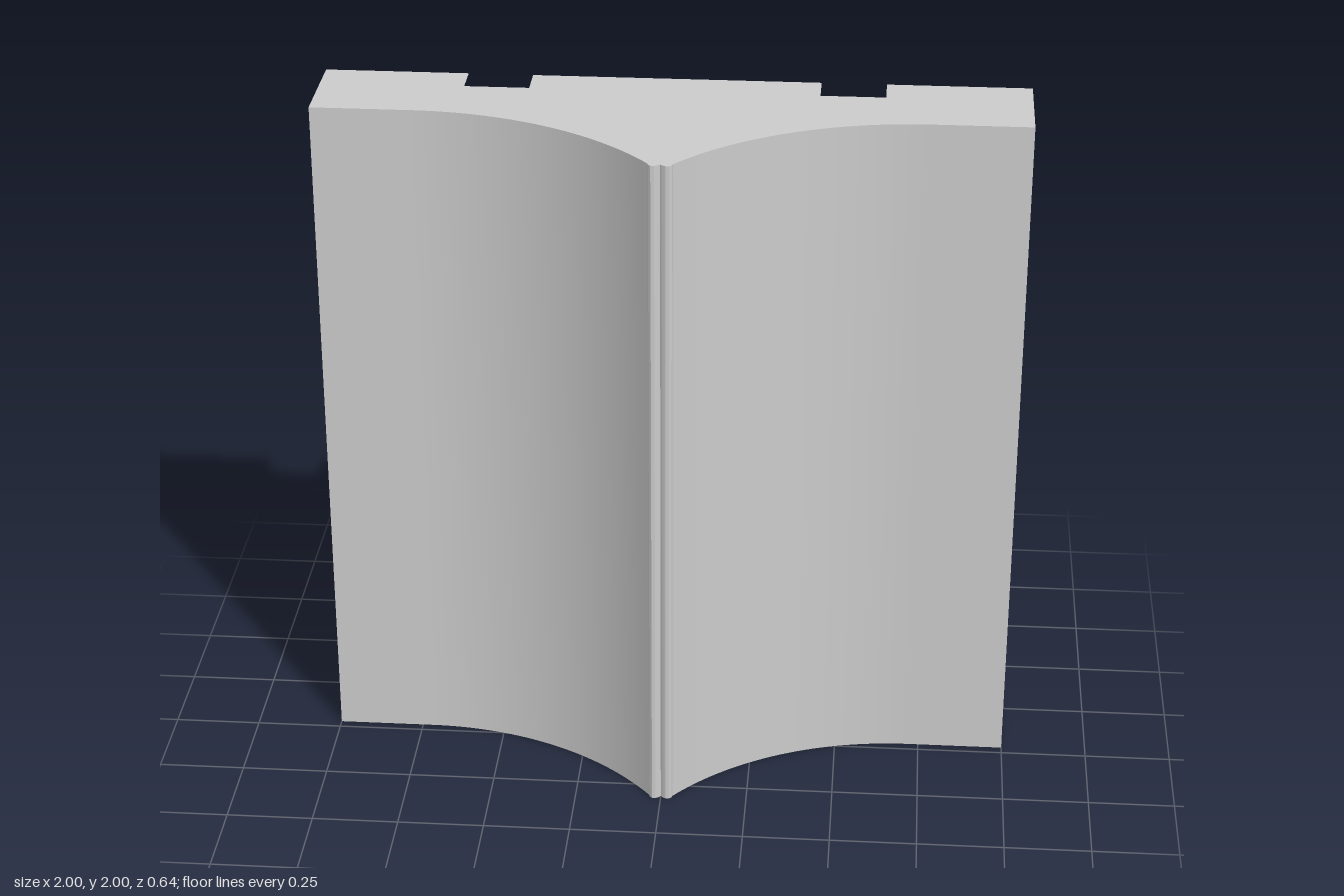
import * as THREE from 'three';
import { toCreasedNormals } from 'three/addons/utils/BufferGeometryUtils.js';

const BACK = -0.32, FLOOR = -0.22, FRONT = -0.028; // z of back, pocket floor, plate front
const R = 0.125, INSET = 0.085;                    // pocket radius, centre distance from edge

// Remove the faces looking along dir (hidden joints), then smooth the rest
function finish(geometry, dir) {
  const p = geometry.attributes.position, tri = new THREE.Triangle(), n = new THREE.Vector3();
  const kept = [];
  for (let i = 0; i < p.count; i += 3) {
    tri.setFromAttributeAndIndices(p, i, i + 1, i + 2).getNormal(n);
    if (n.dot(dir) < 0.999) for (const v of [tri.a, tri.b, tri.c]) kept.push(v.clone());
  }
  return toCreasedNormals(new THREE.BufferGeometry().setFromPoints(kept), 0.4);
}

// Arc of a round pocket that breaks through the bottom edge of the square
function pocketArc(cx) {
  const beta = Math.asin(INSET / R), pts = [], N = 32;
  for (let i = 0; i <= N; i++) {
    const a = Math.PI + beta - (i / N) * (Math.PI + 2 * beta);
    pts.push(new THREE.Vector2(cx + R * Math.cos(a), -1 + INSET + R * Math.sin(a)));
  }
  pts[0].y = pts[N].y = -1;
  return pts;
}

export function createModel() {
  const group = new THREE.Group();
  const material = new THREE.MeshStandardMaterial({ color: 0xcccccc });
  const add = (name, geometry) => {
    const mesh = new THREE.Mesh(geometry, material);
    mesh.name = name;
    group.add(mesh);
  };

  // Front body: plate with two concave flanks rising to a grooved ridge
  const half = [[0, 0.308], [0.006, 0.315], [0.015, 0.32], [0.025, 0.32], [0.032, 0.313]];
  const x1 = 0.72, radius = 0.873, a0 = Math.asin((x1 - 0.034) / radius);
  for (let i = 0; i <= 32; i++) {
    const a = a0 * (1 - i / 32);
    half.push([x1 - radius * Math.sin(a), FRONT + radius * (1 - Math.cos(a))]);
  }
  half.push([1, FRONT], [1, FLOOR]);
  const mirrored = half.slice(1).reverse().map(([x, z]) => [-x, z]);
  const profile = new THREE.Shape([...mirrored, ...half].map(([x, z]) => new THREE.Vector2(x, -z)));
  const body = new THREE.ExtrudeGeometry(profile, { depth: 2, bevelEnabled: false });
  body.rotateX(-Math.PI / 2);
  add('ridgedBody', finish(body, new THREE.Vector3(0, 0, -1)));

  // Back layer: square outline with two open round pockets on each edge
  const outline = [], floors = [], origin = new THREE.Vector2();
  for (let k = 0; k < 4; k++) {
    const turn = (v) => v.rotateAround(origin, k * Math.PI / 2);
    outline.push(turn(new THREE.Vector2(-1, -1)));
    for (const cx of [-0.5, 0.5]) {
      const arc = pocketArc(cx).map(turn);
      outline.push(...arc);
      floors.push(new THREE.Shape(arc));
    }
  }
  const back = new THREE.ExtrudeGeometry(new THREE.Shape(outline), { depth: FLOOR - BACK, bevelEnabled: false });
  back.translate(0, 1, BACK);
  add('notchedBack', finish(back, new THREE.Vector3(0, 0, 1)));

  // Pocket floors, facing backward
  const floor = new THREE.ShapeGeometry(floors);
  floor.rotateY(Math.PI).translate(0, 1, FLOOR);
  add('pocketFloors', floor);

  return group;
}
